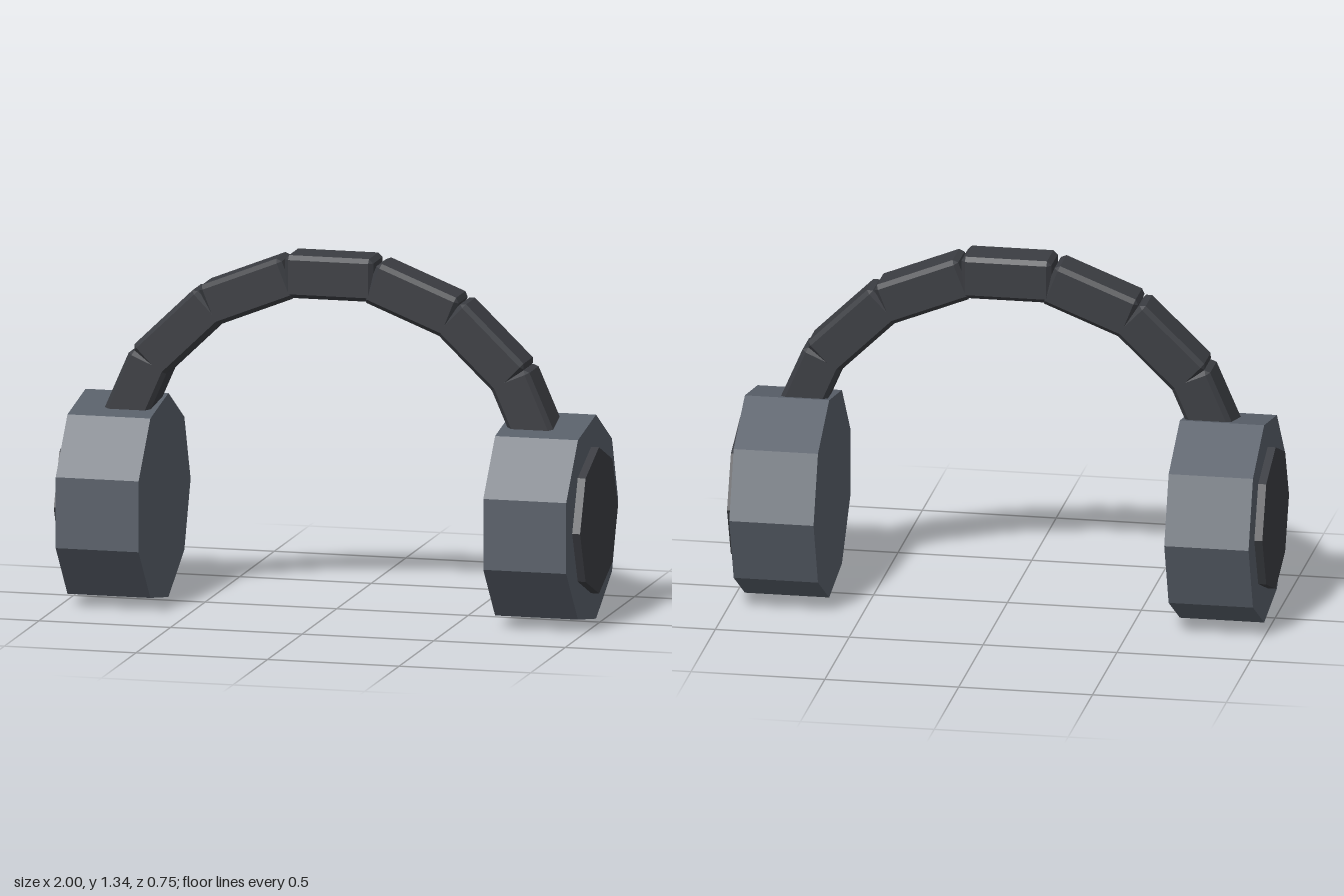
import * as THREE from 'three';
import { ConvexGeometry } from 'three/addons/geometries/ConvexGeometry.js';

const material = (color) => new THREE.MeshStandardMaterial({ color, flatShading: true });

// Box with every edge chamfered, as the hull of three insets
function chamferBox(w, h, d, c) {
  const points = [];
  const [x, y, z] = [w / 2, h / 2, d / 2];
  for (const sx of [-1, 1]) for (const sy of [-1, 1]) for (const sz of [-1, 1]) {
    points.push(
      new THREE.Vector3(sx * x, sy * (y - c), sz * (z - c)),
      new THREE.Vector3(sx * (x - c), sy * y, sz * (z - c)),
      new THREE.Vector3(sx * (x - c), sy * (y - c), sz * z));
  }
  return new ConvexGeometry(points);
}

// Polygonal disc lying along x, with one corner pointing to -z
function disc(radius, width, sides) {
  const geometry = new THREE.CylinderGeometry(radius, radius, width, sides, 1, false, Math.PI);
  return geometry.rotateZ(Math.PI / 2);
}

export function createModel() {
  const model = new THREE.Group();
  const cupMaterial = material(0x59606a);
  const darkMaterial = material(0x3b3d42);

  const add = (parent, name, geometry, mat, x, y, z) => {
    const mesh = new THREE.Mesh(geometry, mat);
    mesh.name = name;
    mesh.position.set(x, y, z);
    parent.add(mesh);
    return mesh;
  };

  // Ear cups with their outer caps
  const cup = disc(0.388, 0.315, 9);
  const cap = disc(0.274, 0.06, 8);
  for (const side of [-1, 1]) {
    const ear = new THREE.Group();
    ear.name = side > 0 ? 'leftEarCup' : 'rightEarCup';
    add(ear, 'cup', cup, cupMaterial, side * 0.8125, 0.389, 0.008);
    add(ear, 'outerCap', cap, darkMaterial, side * 0.97, 0.39, 0.012);
    model.add(ear);
  }

  // Headband of seven chamfered blocks: outer mid point and tilt in degrees
  const band = new THREE.Group();
  band.name = 'headband';
  const thickness = 0.16;
  const block = chamferBox(0.336, thickness, 0.164, 0.016);
  const addBlock = (side, x, y, degrees) => {
    const a = THREE.MathUtils.degToRad(degrees);
    const cx = x - Math.sin(a) * thickness / 2;
    const cy = y - Math.cos(a) * thickness / 2;
    add(band, 'bandBlock', block, darkMaterial, side * cx, cy, 0.044).rotation.z = -side * a;
  };
  addBlock(1, 0, 1.345, 0);
  for (const side of [-1, 1]) {
    addBlock(side, 0.342, 1.273, 21.7);
    addBlock(side, 0.63, 1.088, 44);
    addBlock(side, 0.822, 0.81, 66.5);
  }
  model.add(band);
  return model;
}
